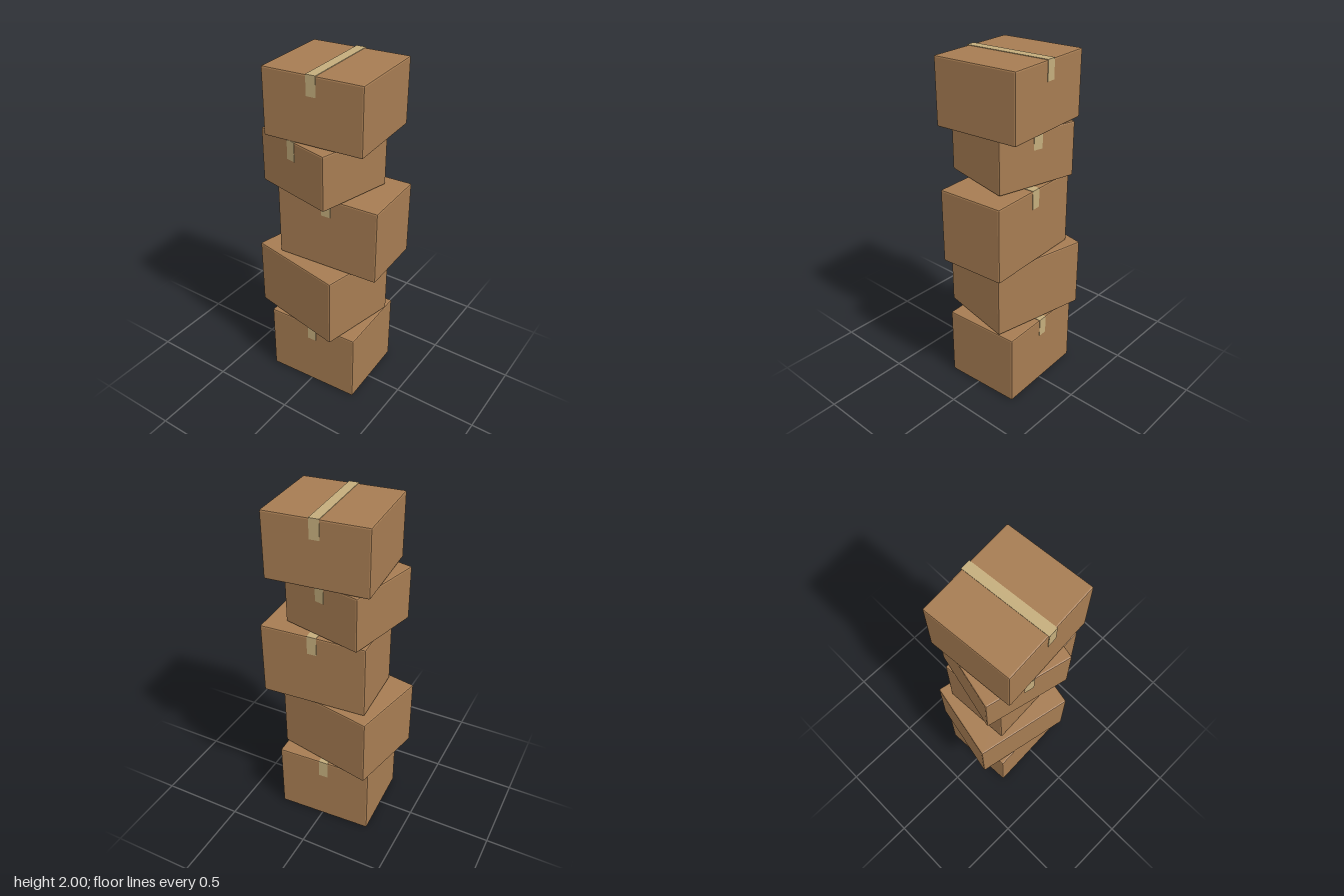
import * as THREE from 'three';
import { RoundedBoxGeometry } from 'three/addons/geometries/RoundedBoxGeometry.js';

const TAPE_WIDTH = 0.056;
const TAPE_DROP = 0.108;
const TAPE_THICK = 0.003;

// width, depth, bottom, top, centre x, centre z, turn, taped
const BOXES = [
  [0.578, 0.472, 0.003, 0.437, -0.003, -0.017, 0.045, true],
  [0.594, 0.482, 0.44, 0.857, -0.053, 0.002, -0.2, false],
  [0.626, 0.402, 0.86, 1.298, 0.064, -0.037, 0.058, true],
  [0.496, 0.464, 1.303, 1.62, -0.04, 0.012, -0.228, true],
  [0.582, 0.512, 1.623, 1.997, 0.02, -0.02, 0.08, true],
];

export function createModel() {
  const cardboard = new THREE.MeshStandardMaterial({ color: 0xa67c52 });
  cardboard.name = 'cardboard';
  const packingTape = new THREE.MeshStandardMaterial({ color: 0xc4ad7c });
  packingTape.name = 'packing tape';

  const model = new THREE.Group();
  model.name = 'boxStack';

  const add = (parent, geometry, material, name, x, y, z) => {
    const mesh = new THREE.Mesh(geometry, material);
    mesh.name = name;
    mesh.position.set(x, y, z);
    parent.add(mesh);
  };

  BOXES.forEach(([w, d, bottom, top, x, z, turn, taped], i) => {
    const box = new THREE.Group();
    box.name = `box${i + 1}`;
    box.position.set(x, bottom, z);
    box.rotation.y = turn;
    const h = top - bottom;

    // carton with narrow flat-shaded bevels
    const carton = new RoundedBoxGeometry(w, h, d, 1, 0.009);
    carton.computeVertexNormals();
    add(box, carton, cardboard, 'carton', 0, h / 2, 0);

    // tape across the top, folded down at the front and back
    if (taped) {
      add(box, new THREE.BoxGeometry(TAPE_WIDTH, TAPE_THICK, d + 2 * TAPE_THICK),
        packingTape, 'topTape', 0, h + TAPE_THICK / 2, 0);
      for (const side of [1, -1]) {
        add(box, new THREE.BoxGeometry(TAPE_WIDTH, TAPE_DROP, TAPE_THICK),
          packingTape, side > 0 ? 'frontTape' : 'backTape',
          0, h - TAPE_DROP / 2, side * (d + TAPE_THICK) / 2);
      }
    }
    model.add(box);
  });

  // bring the lowest carton down to the ground
  model.children[0].position.y = 0;
  return model;
}
